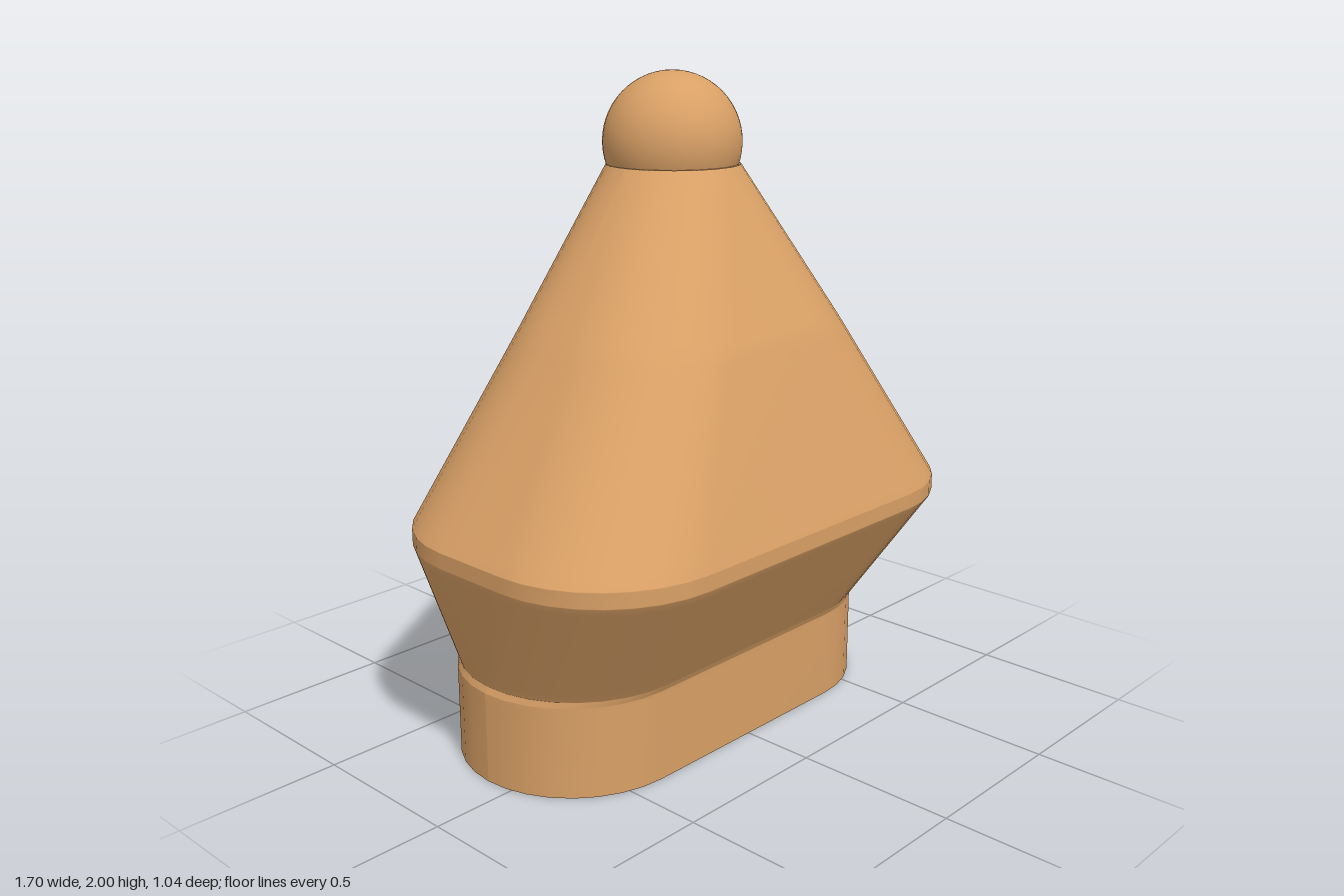
import * as THREE from 'three';

// Rounded rectangle outline as [x, z] points, same count for every section
function outline([, x0, x1, z0, z1, r], seg = 8) {
  const pts = [];
  const corners = [[x1 - r, z1 - r], [x0 + r, z1 - r], [x0 + r, z0 + r], [x1 - r, z0 + r]];
  corners.forEach(([cx, cz], k) => {
    for (let i = 0; i <= seg; i++) {
      const a = (k + i / seg) * Math.PI / 2;
      pts.push([cx + r * Math.cos(a), cz + r * Math.sin(a)]);
    }
  });
  return pts;
}

// Smooth skin through sections [y, x0, x1, z0, z1, radius]; support rings keep bends tight
function loft(sections) {
  const rings = [];
  sections.forEach((s, i) => {
    rings.push(s);
    const next = sections[i + 1];
    if (!next) return;
    for (const t of [0.06, 0.94]) rings.push(s.map((v, k) => v + (next[k] - v) * t));
  });
  const pos = [], idx = [];
  let n = 0;
  rings.forEach((s) => {
    const pts = outline(s);
    n = pts.length;
    pts.forEach(([x, z]) => pos.push(x, s[0], z));
  });
  for (let i = 0; i < rings.length - 1; i++) {
    for (let j = 0; j < n; j++) {
      const k = (j + 1) % n;
      const a = i * n + j, b = i * n + k, c = a + n, d = b + n;
      idx.push(a, c, b, b, c, d);
    }
  }
  const g = new THREE.BufferGeometry();
  g.setAttribute('position', new THREE.Float32BufferAttribute(pos, 3));
  g.setIndex(idx);
  g.computeVertexNormals();
  return g;
}

export function createModel() {
  const group = new THREE.Group();
  const tan = new THREE.MeshStandardMaterial({ color: 0xd9a066, side: THREE.DoubleSide });
  tan.name = 'tan';
  const add = (name, geometry, x = 0, y = 0, z = 0) => {
    const mesh = new THREE.Mesh(geometry, tan);
    mesh.name = name;
    mesh.position.set(x, y, z);
    group.add(mesh);
  };

  // Stadium foot, flared waist, wide shoulder, then a leaning taper to the neck
  const foot = [0, -0.745, 0.74, -0.45, 0.27, 0.359];
  add('body', loft([
    foot,
    [0.28, -0.745, 0.74, -0.45, 0.27, 0.359],
    [0.30, -0.735, 0.73, -0.452, 0.28, 0.36],
    [0.68, -0.85, 0.85, -0.52, 0.52, 0.39],
    [0.73, -0.85, 0.85, -0.52, 0.52, 0.39],
    [1.25, -0.455, 0.565, -0.445, 0.31, 0.32],
    [1.72, -0.08, 0.335, -0.378, 0.037, 0.207],
  ]));

  // Underside with two round sockets
  const holeX = 0.385, holeZ = -0.09, holeR = 0.22;
  const base = new THREE.Shape(outline(foot).map(([x, z]) => new THREE.Vector2(x, z)));
  for (const s of [-1, 1]) {
    base.holes.push(new THREE.Path().absarc(s * holeX, holeZ, holeR, 0, Math.PI * 2, true));
  }
  add('underside', new THREE.ShapeGeometry(base, 24).rotateX(Math.PI / 2));

  const wall = [[holeR, 0], [0.2, 0.03], [0.2, 0.13], [0.19, 0.14], [0.19, 0.3]];
  for (const [name, s] of [['rightSocket', -1], ['leftSocket', 1]]) {
    add(name, new THREE.LatheGeometry(wall.map((p) => new THREE.Vector2(...p)), 40), s * holeX, 0, holeZ);
    add(name + 'End', new THREE.CircleGeometry(0.19, 40).rotateX(Math.PI / 2), s * holeX, 0.3, holeZ);
  }

  // Ball on top, with the closed rim of the neck below it
  add('neckRim', new THREE.CircleGeometry(0.207, 32).rotateX(-Math.PI / 2), 0.1275, 1.72, -0.1705);
  add('ball', new THREE.SphereGeometry(0.215, 40, 28), 0.13, 1.785, -0.177);

  return group;
}
